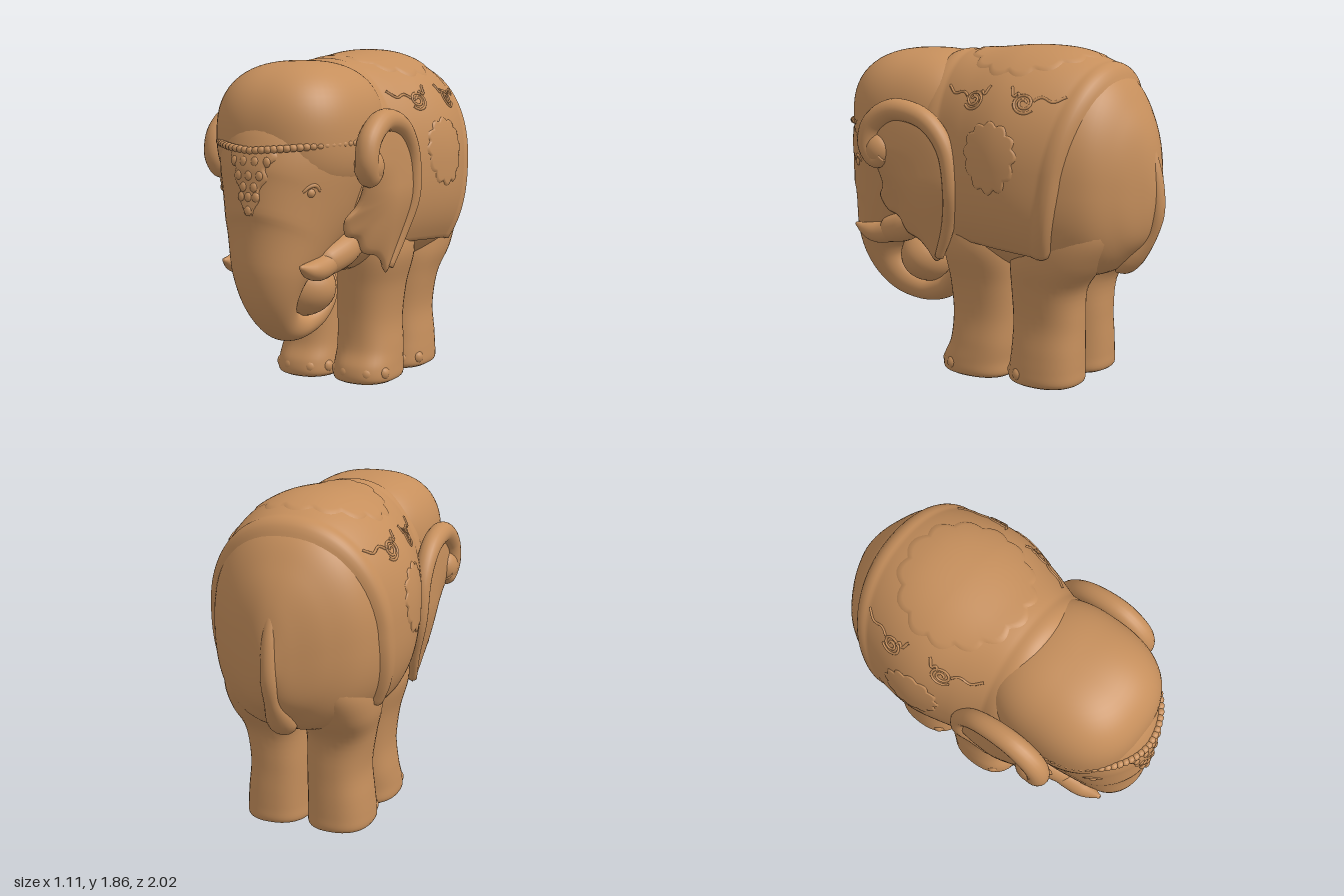
import * as THREE from 'three';
import { mergeVertices, mergeGeometries } from 'three/addons/utils/BufferGeometryUtils.js';

const { sin, cos, abs, sign, min, max, sqrt, PI } = Math;
const clamp = (v) => min(1, max(0, v));
const smooth = (v) => clamp(v) ** 2 * (3 - 2 * clamp(v));
const spow = (v, e) => sign(v) * abs(v) ** e;
const V = (x, y, z) => new THREE.Vector3(x, y, z);

// Smooth surface from a rule f(u, v) on a grid
function grid(f, nu, nv) {
  const pos = [], idx = [], row = nv + 1;
  for (let i = 0; i <= nu; i++)
    for (let j = 0; j <= nv; j++) pos.push(...f(i / nu, j / nv).toArray());
  for (let i = 0; i < nu; i++)
    for (let j = 0; j < nv; j++) {
      const a = i * row + j, b = a + 1, c = a + row, d = c + 1;
      idx.push(a, b, c, b, d, c);
    }
  let g = new THREE.BufferGeometry();
  g.setAttribute('position', new THREE.Float32BufferAttribute(pos, 3));
  g.setIndex(idx);
  g = mergeVertices(g, 1e-5);
  g.computeVertexNormals();
  return g;
}

// Superelliptic sections along a path; rows are [x, y, z, halfWidth, halfDepth].
// dir keeps all sections parallel, low is the exponent of the under half.
function sweep(rows, { p = 2, low = p, dir } = {}) {
  const path = new THREE.CatmullRomCurve3(rows.map((r) => V(r[0], r[1], r[2])), false, 'catmullrom', 0.5);
  const size = new THREE.CatmullRomCurve3(rows.map((r) => V(r[3], r[4], 0)), false, 'catmullrom', 0.5);
  const at = (t, a, off = 0, k = 1) => {
    const T = dir || path.getTangent(t), N = T.clone().cross(V(1, 0, 0)).normalize(), S = N.clone().cross(T);
    const r = size.getPoint(t), e = 2 / (sin(a) < 0 ? low : p);
    return path.getPoint(t)
      .addScaledVector(S, k * (max(r.x, 0.002) * spow(cos(a), e) + off * cos(a)))
      .addScaledVector(N, k * (max(r.y, 0.002) * spow(sin(a), e) + off * sin(a)));
  };
  const geometry = (n = 40, m = 40) => grid((u, v) => {
    const i = Math.round(u * (n + 2)) - 1;
    return at(clamp(i / n), v * 2 * PI, 0, i < 0 || i > n ? 0 : 1);
  }, n + 2, m);
  // Surface point where a coordinate, rising along the path, reaches a value
  const find = (rise, value, hi, a, off) => {
    let lo = 0;
    for (let i = 0; i < 22; i++) {
      const mid = (lo + hi) / 2;
      if (rise(at(mid, a)) < value) lo = mid; else hi = mid;
    }
    return at(lo, a, off);
  };
  return { geometry, find };
}

// Ellipsoid, squarer for larger p
function blob(x, y, z, rx, ry, rz, p = 2, n = 20) {
  return grid((u, v) => {
    const d = V(sin(PI * u) * cos(2 * PI * v), -cos(PI * u), -sin(PI * u) * sin(2 * PI * v));
    const k = (abs(d.x) ** p + abs(d.y) ** p + abs(d.z) ** p) ** (-1 / p);
    return V(x + d.x * k * rx, y + d.y * k * ry, z + d.z * k * rz);
  }, n, n * 2);
}

export function createModel() {
  const model = new THREE.Group();
  const clay = new THREE.MeshStandardMaterial({ color: 0xc68f5c });
  clay.name = 'warm clay';
  const add = (name, geo) => {
    const m = new THREE.Mesh(geo, clay);
    m.name = name;
    model.add(m);
  };

  // Body, rump to neck
  const body = sweep([
    [0, 1.08, -0.975, 0.03, 0.06], [0, 1.12, -0.93, 0.13, 0.26], [0, 1.16, -0.85, 0.28, 0.4],
    [0, 1.19, -0.72, 0.42, 0.54], [0, 1.21, -0.5, 0.5, 0.61], [0, 1.23, -0.25, 0.53, 0.61],
    [0, 1.23, 0, 0.475, 0.59], [0, 1.22, 0.2, 0.41, 0.58], [0, 1.2, 0.4, 0.37, 0.52], [0, 1.2, 0.52, 0.28, 0.3],
  ], { p: 2.15, low: 2.5, dir: V(0, 0, 1) });
  add('body', body.geometry(60, 64));
  const onBody = (z, a, off) => body.find((q) => q.z, z, 1, a, off);

  // Saddle cloth with raised rear border, hem and neck roll
  add('saddleCloth', grid((u, v) => {
    const a = -0.75 + v * (PI + 1.5);
    const rear = -0.53 - 0.23 * (sin(a) + 0.68) / 1.68, len = 0.32 - rear;
    const dr = u * len, df = (1 - u) * len, dv = min(v, 1 - v) * 2.5;
    const bump = (d, w) => (d < w ? sin(PI * d / w) : 0);
    const off = -0.012 + 0.03 * clamp(min(dr, df, dv) / 0.03) ** 0.6
      + 0.014 * bump(dr, 0.11) + 0.016 * bump(df, 0.14) + 0.004 * bump(dv, 0.06);
    return onBody(rear + dr, a, off);
  }, 80, 90));

  // Scalloped medallions lying on the cloth
  const medallion = (z0, a0, rz, ra, n, depth) => grid((u, v) => {
    const th = v * 2 * PI, k = u * (1 - depth + depth * abs(cos(th * n / 2)));
    return onBody(z0 + rz * k * cos(th), a0 + ra * k * sin(th), u > 0.97 ? 0.012 : 0.024);
  }, 16, 112);
  add('backMedallion', medallion(-0.23, PI / 2, 0.39, 0.74, 14, 0.1));

  // Scroll ornaments and side medallions
  for (const s of [1, -1]) {
    const ang = (a) => (s > 0 ? a : PI - a);
    add('sideMedallion', medallion(-0.22, ang(0.13), 0.18, 0.28, 12, 0.14));
    for (const [z0, d] of [[-0.07, 1], [-0.39, -1]]) {
      const spiral = [], wing = [], vine = [];
      for (let i = 0; i <= 24; i++) {
        const th = i * 0.5, r = 0.012 + 0.0022 * i;
        spiral.push(onBody(z0 + d * r * cos(th), ang(0.6 + r * 1.6 * sin(th)), 0.018));
      }
      for (let i = 0; i <= 8; i++) {
        wing.push(onBody(z0 + d * (0.05 + 0.02 * i), ang(0.63 + 0.03 * sin(i * 0.9) + 0.012 * i), 0.018));
        vine.push(onBody(z0 - d * (0.03 + 0.008 * i), ang(0.64 + 0.03 * sin(i) + 0.01 * i), 0.018));
      }
      add('scrollOrnament', mergeGeometries([spiral, wing, vine].map((pts) =>
        new THREE.TubeGeometry(new THREE.CatmullRomCurve3(pts), 50, 0.008, 6))));
    }
  }

  // Head dome, face and curled trunk
  add('headDome', blob(0, 1.43, 0.47, 0.41, 0.39, 0.46, 2.5, 36));
  const face = sweep([
    [0, 1.5, 0.47, 0.39, 0.4], [0, 1.3, 0.53, 0.385, 0.44], [0, 1.1, 0.6, 0.34, 0.425],
    [0, 0.9, 0.7, 0.275, 0.335], [0, 0.72, 0.79, 0.21, 0.2], [0, 0.56, 0.785, 0.148, 0.133],
    [0, 0.44, 0.69, 0.1, 0.102], [0, 0.385, 0.53, 0.08, 0.075], [0, 0.42, 0.385, 0.1, 0.07],
    [0, 0.51, 0.3, 0.115, 0.055], [0, 0.62, 0.275, 0.1, 0.042], [0, 0.68, 0.28, 0.04, 0.02],
  ], { p: 2.05 });
  add('faceAndTrunk', face.geometry(90, 48));
  add('heldBall', blob(0, 0.6, 0.5, 0.21, 0.165, 0.172));
  const onFace = (y, a, off) => face.find((q) => -q.y, -y, 0.4, a, off);

  // Beaded headband
  const beads = [];
  for (let i = 0; i <= 34; i++) {
    const a = 0.22 + (PI - 0.44) * i / 34;
    const p = onFace(1.375 + 0.03 * abs(cos(a)), a, 0.006);
    beads.push(blob(p.x, p.y, p.z, 0.024, 0.02, 0.022, 2, 7));
  }
  add('headband', mergeGeometries(beads));

  // Forehead pendant with small studs
  add('foreheadPendant', grid((u, v) => {
    const half = 0.4 * (1 - u) ** 0.6 * (1 + 0.15 * sin(u * 20));
    const off = -0.012 + 0.022 * clamp(min(v, 1 - v, 1 - u) * 8);
    return onFace(1.37 - 0.35 * u, PI / 2 + (v * 2 - 1) * half, off);
  }, 40, 24));
  const studs = [];
  for (const [y, n, step] of [[1.32, 4, 0.17], [1.25, 3, 0.17], [1.19, 2, 0.18], [1.14, 3, 0.13], [1.07, 1, 0]])
    for (let i = 0; i < n; i++) {
      const p = onFace(y, PI / 2 + (i - (n - 1) / 2) * step, 0.004);
      studs.push(blob(p.x, p.y, p.z, 0.022, 0.027, 0.014, 2, 7));
    }
  add('pendantStuds', mergeGeometries(studs));

  for (const s of [1, -1]) {
    // Eyes with lids
    const ang = (a) => (s > 0 ? a : PI - a);
    const e = onFace(1.165, ang(0.6), -0.018);
    add('eye', blob(e.x, e.y, e.z, 0.028, 0.028, 0.028, 2, 10));
    add('eyelid', sweep([-2, -1, 0, 1, 2].map((i) => {
      const p = onFace(1.2 - 0.008 * i * i, ang(0.6 + i * 0.06), -0.004);
      return [p.x, p.y, p.z, 0.012 - 0.002 * abs(i), 0.012 - 0.002 * abs(i)];
    })).geometry(12, 8));

    // Tusk and its socket
    add('tuskSocket', sweep([[s * 0.29, 0.85, 0.4, 0.06, 0.07], [s * 0.265, 0.81, 0.5, 0.08, 0.085],
      [s * 0.245, 0.775, 0.62, 0.07, 0.078], [s * 0.24, 0.76, 0.67, 0.045, 0.055]]).geometry(20, 24));
    add('tusk', sweep([[s * 0.255, 0.79, 0.55, 0.06, 0.06], [s * 0.245, 0.75, 0.68, 0.062, 0.064],
      [s * 0.24, 0.75, 0.78, 0.052, 0.05], [s * 0.235, 0.78, 0.88, 0.01, 0.01]]).geometry(24, 24));

    // Thin ear leaf, leaning in toward the bottom and the cheek
    const lean = (y, z) => 0.465 - 0.085 * smooth((1.15 - y) / 0.5) - 0.1 * smooth((z - 0.25) / 0.38) * smooth((1.3 - y) / 0.35);
    const outline = new THREE.CatmullRomCurve3([[0.59, 1.28], [0.58, 1.42], [0.42, 1.53], [0.2, 1.48], [0.07, 1.32], [0.04, 1.08],
      [0.1, 0.87], [0.18, 0.68], [0.22, 0.66], [0.27, 0.72], [0.33, 0.77], [0.43, 0.8], [0.49, 0.88], [0.58, 0.91], [0.62, 0.99], [0.57, 1.07]]
      .map(([z, y]) => V(0, y, z)), true);
    add('ear', grid((u, v) => {
      const r = 1 - abs(2 * u - 1), q = outline.getPoint(s > 0 ? v : 1 - v);
      const y = 1.1 + r * (q.y - 1.1), z = 0.31 + r * (q.z - 0.31);
      return V(s * (lean(y, z) + sign(0.5 - u) * 0.03 * sqrt(1 - r ** 4)), y, z);
    }, 40, 96));

    // Rolled ear rim ending in a curl
    add('earRim', sweep([[0.5, 1.26, 0.05], [0.56, 1.23, 0.06], [0.605, 1.31, 0.062], [0.565, 1.43, 0.064], [0.42, 1.51, 0.062],
      [0.22, 1.465, 0.057], [0.09, 1.31, 0.05], [0.06, 1.08, 0.044], [0.11, 0.87, 0.036], [0.19, 0.69, 0.025]]
      .map(([z, y, r]) => [s * (lean(y, z) + 0.005), y, z, r, r])).geometry(60, 20));
    add('earCurl', blob(s * 0.455, 1.28, 0.55, 0.075, 0.095, 0.095));

    // Legs, planted foot up to shoulder or haunch
    const legs = {
      frontLeg: [[0.005, 0.18, 0.035, 0.15, 0.18], [0.03, 0.182, 0.04, 0.18, 0.214], [0.1, 0.182, 0.036, 0.18, 0.214],
        [0.2, 0.178, 0.008, 0.176, 0.2], [0.36, 0.17, -0.003, 0.171, 0.2], [0.55, 0.18, -0.004, 0.182, 0.212],
        [0.75, 0.21, 0, 0.2, 0.225], [0.95, 0.21, 0, 0.17, 0.19]],
      backLeg: [[0.005, 0.18, -0.39, 0.15, 0.17], [0.03, 0.182, -0.39, 0.18, 0.21], [0.1, 0.182, -0.392, 0.18, 0.21],
        [0.2, 0.178, -0.397, 0.176, 0.204], [0.36, 0.17, -0.398, 0.171, 0.2], [0.55, 0.185, -0.405, 0.184, 0.208],
        [0.7, 0.205, -0.46, 0.203, 0.26], [0.86, 0.21, -0.52, 0.2, 0.29], [1.0, 0.2, -0.54, 0.17, 0.27], [1.14, 0.18, -0.54, 0.1, 0.18]],
    };
    for (const [name, rows] of Object.entries(legs)) {
      add(name, sweep(rows.map(([y, x, z, w, d]) => [s * x, y, z, w, d]), { p: 2.4, dir: V(0, 1, 0) }).geometry(44, 36));
      // Toenails around the front of the foot
      const toes = [];
      for (let i = 0; i < 4; i++) {
        const a = 0.5 + i * 0.65;
        toes.push(blob(s * 0.182 + 0.155 * spow(cos(a), 0.83), 0.07, rows[1][2] + 0.18 * spow(sin(a), 0.83), 0.042, 0.042, 0.04, 2, 9));
      }
      add(name + 'Toes', mergeGeometries(toes));
    }
  }

  // Tail and tuft
  add('tail', sweep([[0, 1.36, -0.9, 0.03, 0.03], [0, 1.18, -0.945, 0.042, 0.04], [0, 1.0, -0.957, 0.045, 0.042],
    [0, 0.86, -0.915, 0.045, 0.042], [0, 0.76, -0.835, 0.075, 0.065], [0, 0.685, -0.775, 0.075, 0.055], [0, 0.64, -0.72, 0.01, 0.01]]).geometry(40, 20));

  return model;
}
